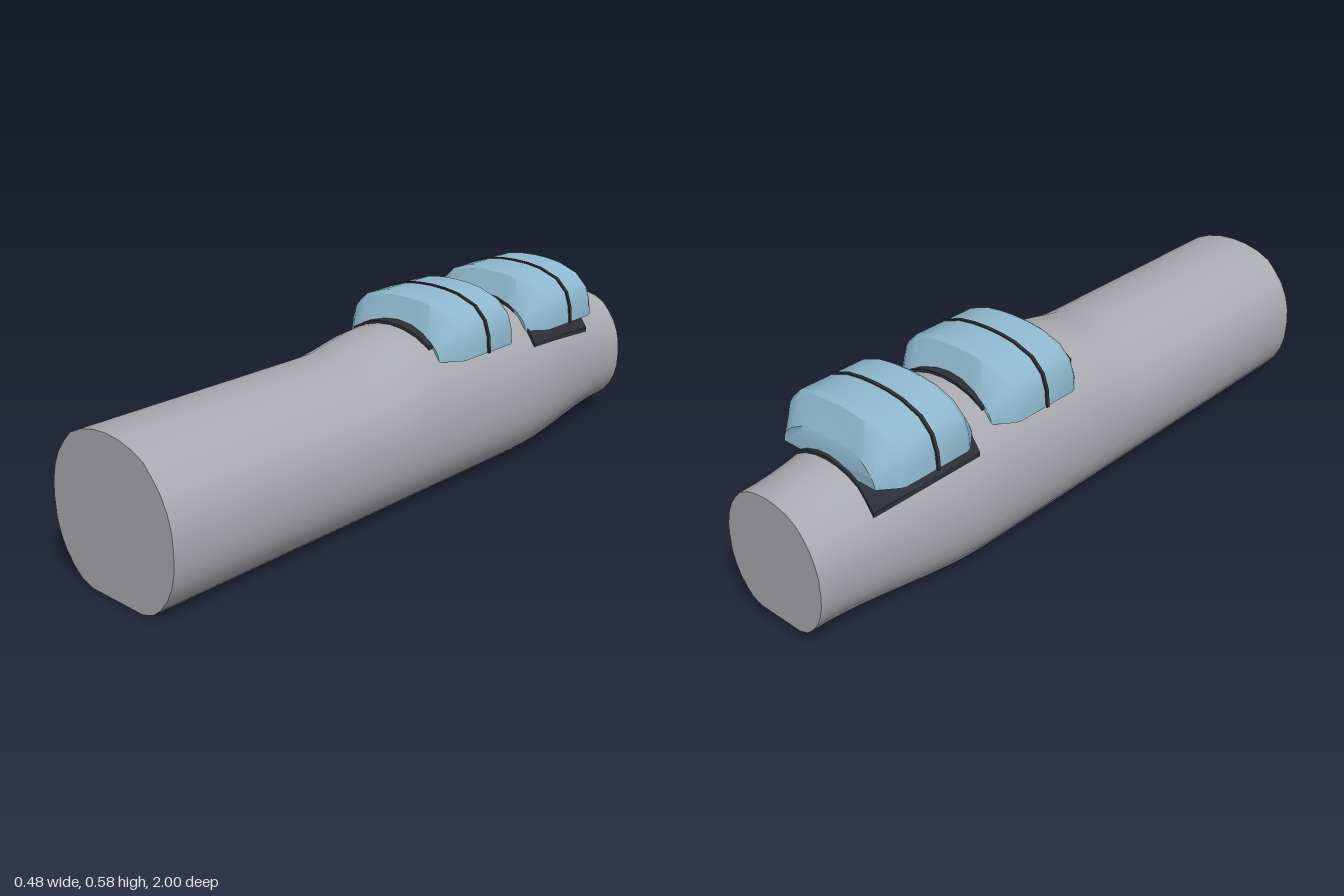
import * as THREE from 'three';
import { toCreasedNormals } from 'three/addons/utils/BufferGeometryUtils.js';

const material = (name, color) => {
  const m = new THREE.MeshStandardMaterial({ color });
  m.name = name;
  return m;
};

// Mirror a right-hand half outline (bottom to top, ending on x = 0) into a full closed one.
const mirror = (half) => [...half, ...half.slice(0, -1).reverse().map(([x, y]) => [-x, y])];

// Skin closed rings that run from front (+z) to back, with both ends capped.
function loft(rings, crease = 0.6) {
  const n = rings[0].length, last = (rings.length - 1) * n, index = [];
  for (let r = 0; r < rings.length - 1; r++) {
    for (let i = 0; i < n; i++) {
      const a = r * n + i, b = r * n + (i + 1) % n;
      index.push(a, a + n, b + n, a, b + n, b);
    }
  }
  const outline = rings[0].map(([x, y]) => new THREE.Vector2(x, y));
  for (const [a, b, c] of THREE.ShapeUtils.triangulateShape(outline, [])) {
    index.push(a, b, c, last + a, last + c, last + b);
  }
  const geometry = new THREE.BufferGeometry();
  geometry.setAttribute('position', new THREE.Float32BufferAttribute(rings.flat(2), 3));
  geometry.setIndex(index);
  return toCreasedNormals(geometry, crease);
}

// Body section: flat base, rounded sides and crown
const MID = 0.215;
const bodyHalf = [[0.103, 0], [0.145, 0.014], [0.175, 0.038], [0.205, 0.075], [0.225, 0.115],
  [0.237, 0.16], [0.24, MID], [0.237, 0.265], [0.225, 0.31], [0.205, 0.352], [0.175, 0.39],
  [0.145, 0.42], [0.1, 0.441], [0.05, 0.453], [0, 0.457]];

// Place a section point at z: raised crown behind the front, then a tapered tail
function onBody([x, y], z) {
  const hump = 1 - THREE.MathUtils.smoothstep(z, 0, 0.23);
  const tail = 1 - THREE.MathUtils.smoothstep(z, -1, -0.42);
  const top = 0.457 + 0.04 * hump - 0.084 * tail;
  const bottom = 0.042 * tail;
  const py = y > MID
    ? MID + (y - MID) * (top - MID) / (0.457 - MID)
    : bottom + y * (MID - bottom) / MID;
  return [x * (1 - 0.25 * tail), py, z];
}

// Pod sections: full middle and the low arch at each end
const BASE = 0.415;
const podHalf = [[0.222, BASE], [0.218, 0.465], [0.203, 0.51], [0.165, 0.547],
  [0.1, 0.57], [0.05, 0.577], [0, 0.579]];
const endHalf = [[0.175, BASE], [0.173, 0.43], [0.165, 0.446], [0.14, 0.468],
  [0.095, 0.487], [0.05, 0.495], [0, 0.498]];
const resize = (points, sx, sy) => points.map(([x, y]) => [x * sx, BASE + (y - BASE) * sy]);
const at = (points, z) => points.map(([x, y]) => [x, y, z]);

function podGeometry() {
  const full = mirror(podHalf), inset = resize(full, 0.97, 0.94);
  // End faces are hollowed toward the middle, where they meet the crown
  const end = (s) => mirror(endHalf).map(([x, y]) =>
    [x, y, s * (0.153 + 0.018 * Math.min(1, Math.abs(x) / 0.15) ** 2)]);
  return loft([end(1), at(inset, 0.123), at(full, 0.108),
    at(full, -0.108), at(inset, -0.123), end(-1)], 0.5);
}

// Thin arched pad that follows the crown of the body
function padGeometry(front, back, reach) {
  const arc = bodyHalf.filter(([x, y]) => y > 0.3 && x <= reach);
  const upper = mirror(arc);
  const rings = [];
  for (let i = 0; i <= 8; i++) {
    const z = THREE.MathUtils.lerp(front, back, i / 8);
    const shift = (dy) => upper.map((p) => {
      const [x, y] = onBody(p, z);
      return [x * 1.02, y + dy, z];
    });
    rings.push([...shift(0.008), ...shift(-0.006).reverse()]);
  }
  return loft(rings);
}

export function createModel() {
  const gray = material('bodyGray', 0xaaaab1);
  const blue = material('podBlue', 0x8fb8ce);
  const dark = material('darkTrim', 0x2c3036);
  const model = new THREE.Group();
  model.name = 'model';
  const add = (name, geometry, mat, z = 0) => {
    const mesh = new THREE.Mesh(geometry, mat);
    mesh.name = name;
    mesh.position.z = z;
    model.add(mesh);
  };

  // Main body
  const stations = [1, 0.6];
  for (let z = 0.25; z > -1.001; z -= 0.05) stations.push(z);
  const section = mirror(bodyHalf);
  add('body', loft(stations.map((z) => section.map((p) => onBody(p, z)))), gray);

  // Two saddle pods, each with a centre band and a pad underneath
  const pod = podGeometry();
  const hoop = resize(mirror(podHalf), 1.025, 1.03).map(([x, y]) => [x, y - 0.001]);
  const band = loft([at(hoop, 0.005), at(hoop, -0.005)]);
  [['front', -0.214, 0.15], ['rear', -0.63, 0.21]].forEach(([place, z, reach]) => {
    add(`${place}Pod`, pod, blue, z);
    add(`${place}Band`, band, dark, z);
    add(`${place}Pad`, padGeometry(z + (place === 'front' ? 0.187 : 0.165), z - 0.178, reach), dark);
  });
  return model;
}
